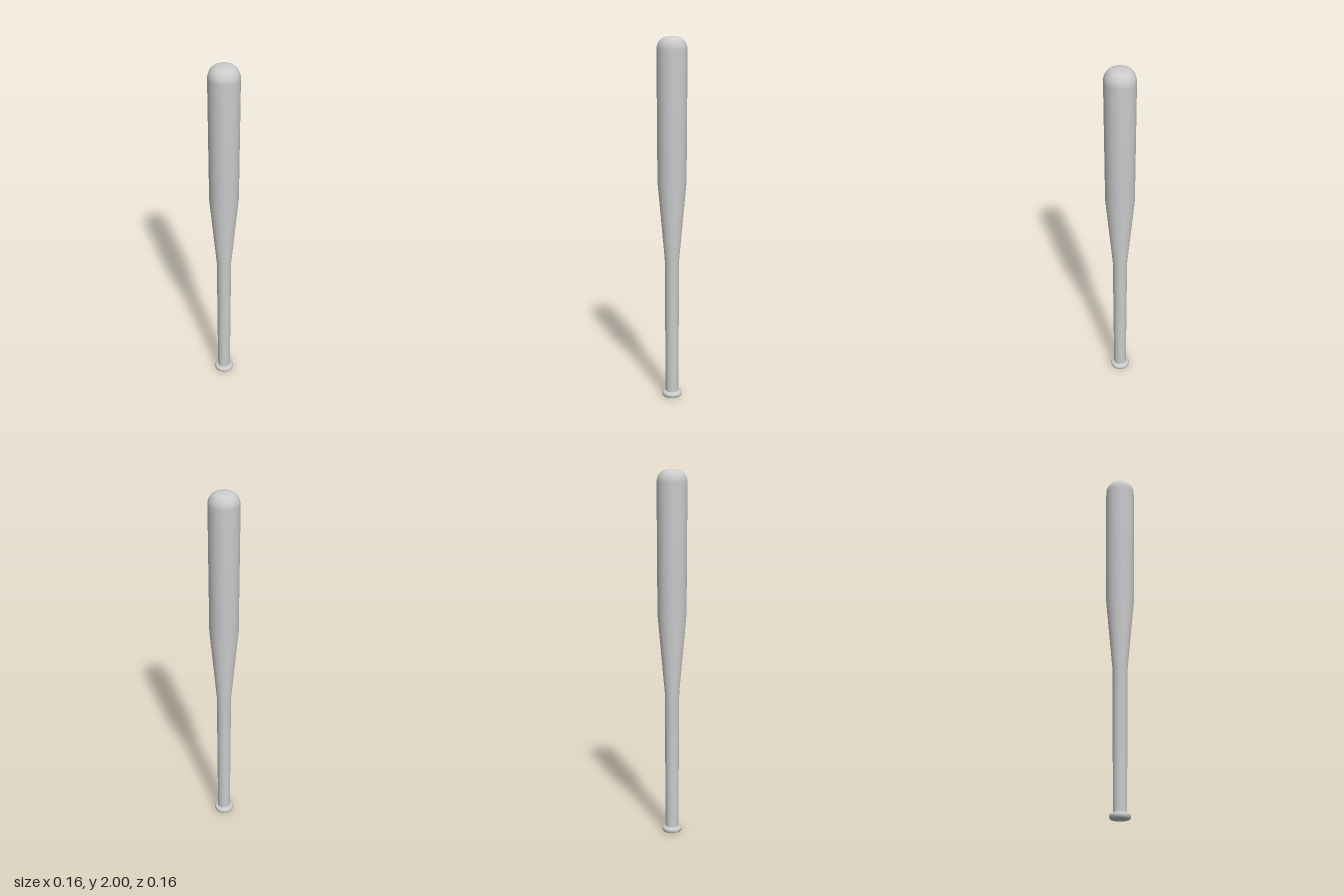
import * as THREE from 'three';
import { toCreasedNormals } from 'three/addons/utils/BufferGeometryUtils.js';

const SIDES = 20;

// Turned shape from [radius, height] pairs, bottom to top
function turned(profile) {
  return new THREE.LatheGeometry(profile.map(([r, y]) => new THREE.Vector2(r, y)), SIDES);
}

export function createModel() {
  const group = new THREE.Group();
  group.name = 'bat';
  const material = new THREE.MeshStandardMaterial({ color: 0xcccccc });
  const add = (name, geometry) => {
    const mesh = new THREE.Mesh(geometry, material);
    mesh.name = name;
    group.add(mesh);
  };

  // Handle, taper and barrel, closed by a rounded tip
  const body = [[0.036, 0.02], [0.037, 0.2], [0.04, 0.8], [0.079, 1.23], [0.082, 1.93]];
  const tipSteps = 6;
  for (let i = 1; i <= tipSteps; i++) {
    const a = (i / tipSteps) * Math.PI / 2;
    body.push([0.03 + 0.052 * Math.cos(a), 1.93 + 0.066 * Math.sin(a)]);
  }
  body.push([0, 2]);
  add('handleAndBarrel', turned(body));

  // Flared knob with a rounded rim and flat underside
  const knob = [[0, 0], [0.05, 0], [0.054, 0.006], [0.055, 0.015], [0.053, 0.023], [0.047, 0.028], [0.035, 0.03]];
  add('knob', toCreasedNormals(turned(knob), Math.PI / 4));

  return group;
}
